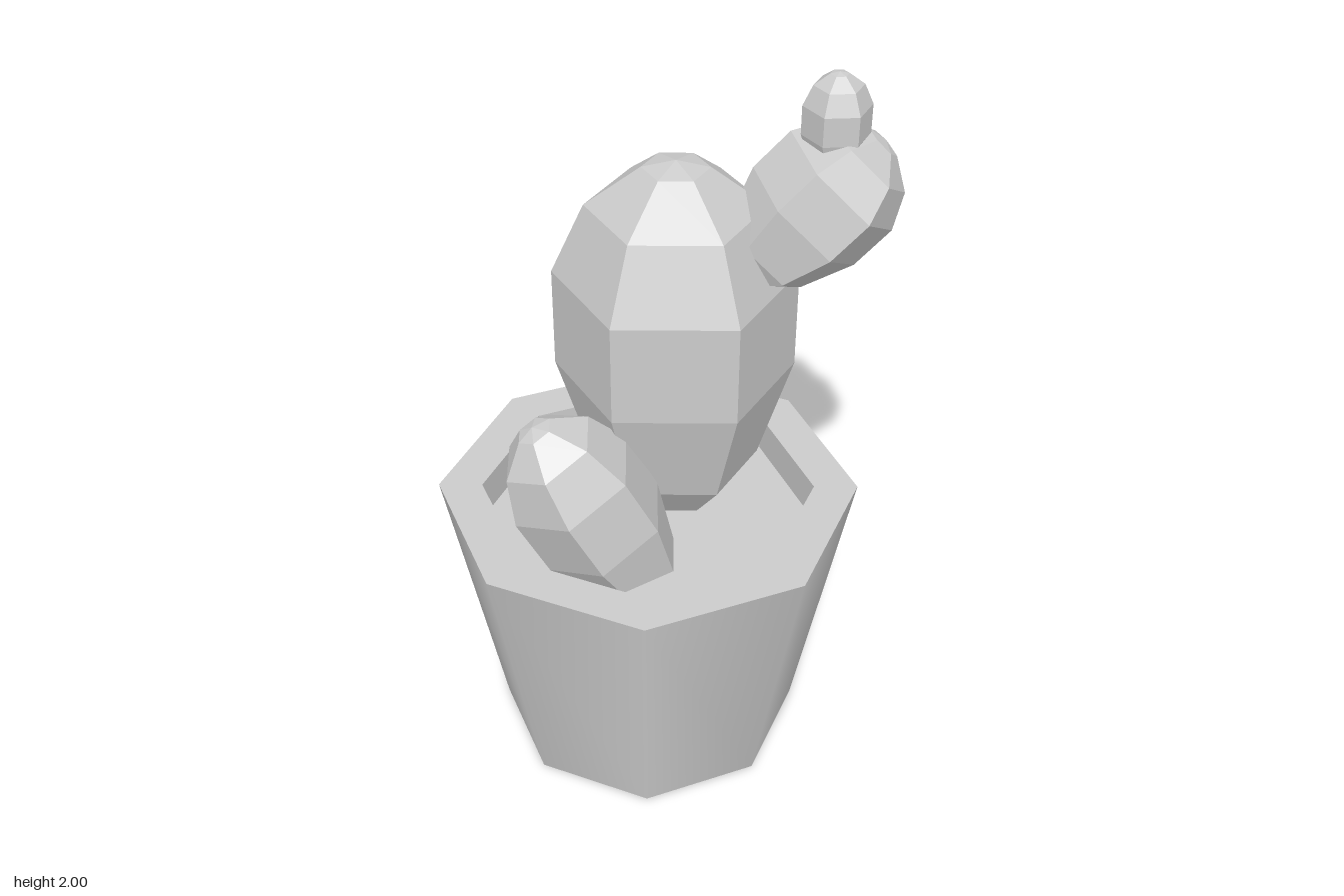
import * as THREE from 'three';

const flat = new THREE.MeshStandardMaterial({ color: 0xcccccc, flatShading: true });
const smooth = new THREE.MeshStandardMaterial({ color: 0xcccccc, side: THREE.DoubleSide });

// Cactus segment profile: [radius, distance below the tip]
const PROFILE = [[0, 1.07], [0.12, 1.07], [0.237, 0.925], [0.33, 0.62], [0.33, 0.33], [0.24, 0.13], [0.09, 0.02], [0, 0]];

// Six-sided segment with its tip at the given point, growing along axis
function cactusSegment(name, tip, axis, scale, stretch, spinDegrees) {
  const points = PROFILE.map(([r, d]) => new THREE.Vector2(r * scale, -d * scale * stretch));
  const geometry = new THREE.LatheGeometry(points, 6, THREE.MathUtils.degToRad(spinDegrees));
  const mesh = new THREE.Mesh(geometry, flat);
  mesh.name = name;
  mesh.position.set(...tip);
  mesh.quaternion.setFromUnitVectors(new THREE.Vector3(0, 1, 0), new THREE.Vector3(...axis).normalize());
  return mesh;
}

// Eight-sided ring surface between profile points
function octagonRing(name, profile, material) {
  const geometry = new THREE.LatheGeometry(profile.map(([r, y]) => new THREE.Vector2(r, y)), 8);
  const mesh = new THREE.Mesh(geometry, material);
  mesh.name = name;
  return mesh;
}

// Flat eight-sided disc, facing up or down
function octagonDisc(name, radius, y, up) {
  const mesh = new THREE.Mesh(new THREE.CircleGeometry(radius, 8), flat);
  mesh.name = name;
  mesh.rotation.x = up ? -Math.PI / 2 : Math.PI / 2;
  mesh.position.y = y;
  return mesh;
}

export function createModel() {
  const model = new THREE.Group();
  model.name = 'pottedCactus';

  // Tapered pot with a flat rim, sunken soil and a raised floor underneath
  const pot = new THREE.Group();
  pot.name = 'pot';
  pot.position.x = -0.033;
  pot.add(
    octagonRing('potWall', [[0.433, 0], [0.588, 0.812]], smooth),
    octagonRing('potRim', [[0.588, 0.812], [0.466, 0.812]], flat),
    octagonRing('potInnerWall', [[0.466, 0.812], [0.466, 0.7]], flat),
    octagonDisc('soil', 0.466, 0.7, true),
    octagonDisc('potFloor', 0.457, 0.13, false),
  );
  model.add(pot);

  // Main stem, side arm with a bud on top, and a leaning offshoot
  model.add(
    cactusSegment('mainStem', [0.04, 1.757, -0.14], [0, 1, 0], 1, 1, 30),
    cactusSegment('arm', [0.57, 1.808, -0.155], [0.69, 0.72, -0.09], 0.565, 0.82, 22),
    cactusSegment('bud', [0.441, 2, -0.14], [0, 1, 0], 0.27, 1, 34),
    cactusSegment('offshoot', [-0.328, 1.172, 0.215], [-0.44, 0.89, 0.09], 0.57, 1.14, 0),
  );
  return model;
}
